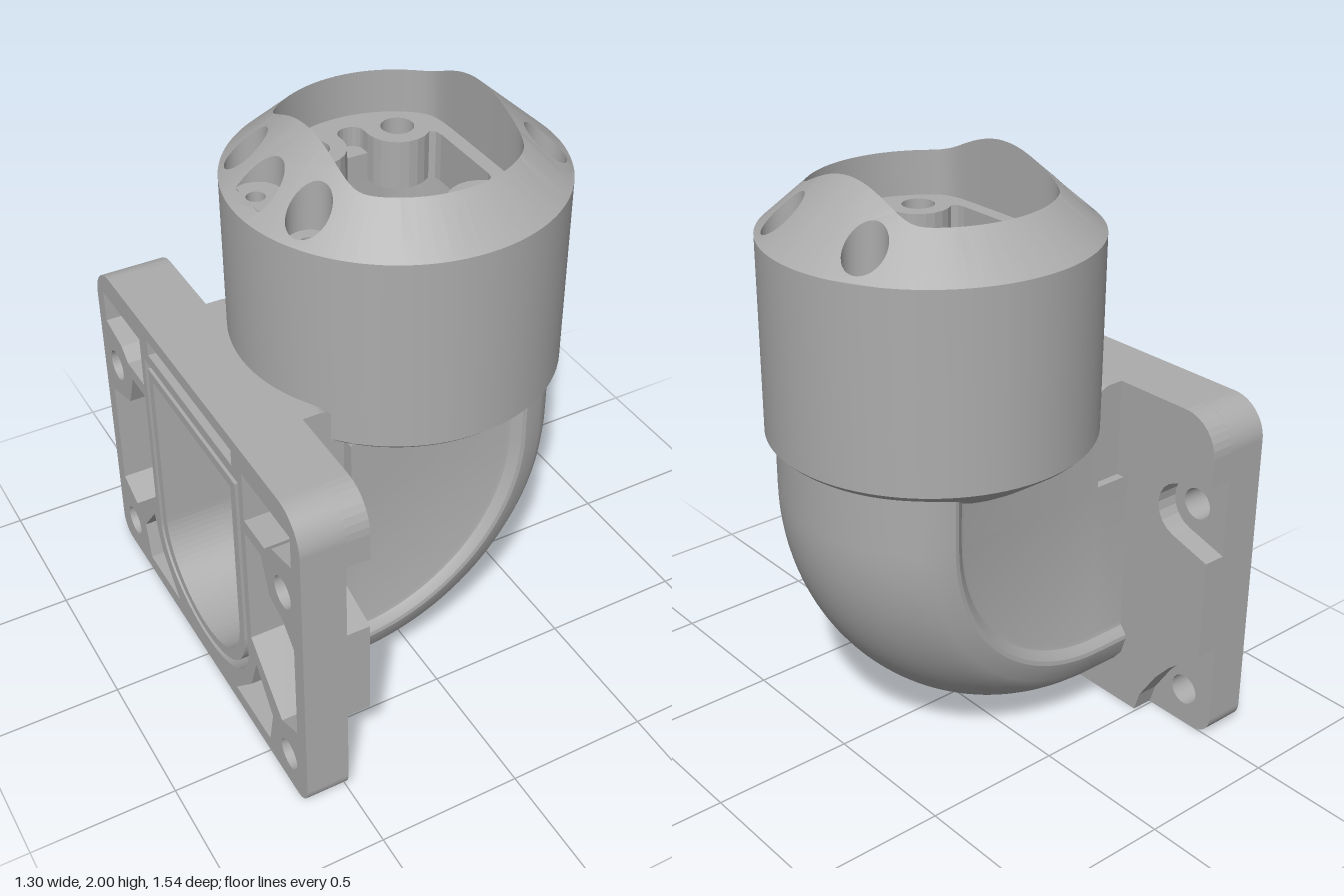
import * as THREE from 'three';
import { mergeGeometries, mergeVertices, toCreasedNormals } from 'three/addons/utils/BufferGeometryUtils.js';

const CX = 0.1; // collar axis
const grey = new THREE.MeshStandardMaterial({ color: 0xacacac, side: THREE.DoubleSide });
grey.name = 'grey metal';
const V = (x, y) => new THREE.Vector2(x, y);

function add(parent, name, geo, x = 0, y = 0, z = 0) {
  const m = new THREE.Mesh(geo, grey);
  m.name = name;
  m.position.set(x, y, z);
  parent.add(m);
}
function box(parent, name, x0, x1, y0, y1, z0, z1) {
  add(parent, name, new THREE.BoxGeometry(x1 - x0, y1 - y0, z1 - z0), (x0 + x1) / 2, (y0 + y1) / 2, (z0 + z1) / 2);
}
const circle = (x, y, r) => new THREE.Path().absarc(x, y, r, 0, Math.PI * 2, true);
const extrude = (shape, depth) => new THREE.ExtrudeGeometry(shape, { depth, bevelEnabled: false, curveSegments: 20 });
const plateX = (shape, depth) => extrude(shape, depth).rotateY(Math.PI / 2);
const plateY = (shape, depth) => extrude(shape, depth).rotateX(-Math.PI / 2);
const mirrored = pts => [...pts, ...pts.map(([x, y]) => [-x, y]).reverse()].map(p => V(...p));

// U-shaped duct outline: flat top, elliptical bottom
function duct(h, top, bottom, Type = THREE.Path) {
  const p = new Type();
  p.moveTo(h, top);
  p.lineTo(-h, top);
  p.lineTo(-h, bottom + 0.26);
  p.absellipse(0, bottom + 0.26, h, 0.26, Math.PI, Math.PI * 2, false);
  p.lineTo(h, top);
  return p;
}

// Sweeps a (radius, z) section through the quarter bend
const BX = -0.28, BY = 0.9;
function bend(section, startX, endY) {
  const stations = [[startX, BY, -Math.PI / 2]];
  for (let i = 0; i <= 40; i++) stations.push([BX, BY, -Math.PI / 2 * (1 - i / 40)]);
  stations.push([BX, endY, 0]);
  const pos = [], idx = [], n = section.length;
  stations.forEach(([x, y, a], s) => section.forEach(([r, z], k) => {
    pos.push(x + r * Math.cos(a), y + r * Math.sin(a), z);
    if (s && k) {
      const b = s * n + k, c = b - n;
      idx.push(c - 1, b - 1, b, c - 1, b, c);
    }
  }));
  const g = new THREE.BufferGeometry();
  g.setAttribute('position', new THREE.Float32BufferAttribute(pos, 3));
  g.setIndex(idx);
  return toCreasedNormals(g, 0.4);
}

// Slot mouth radius (softly cornered) and cone height in the crown
const slotR = a => Math.pow(Math.pow(0.4, -20) + Math.pow(0.3 / Math.max(0.001, Math.abs(Math.cos(a))), -20), -0.05);
const coneY = r => 1.78 + (0.55 - r) * 0.88;

function flange() {
  const g = new THREE.Group();
  g.name = 'flange';
  const bolts = [[0.645, 0.865], [-0.645, 0.865], [0.645, 0.13], [-0.645, 0.13]];
  const outline = () => {
    const s = new THREE.Shape();
    s.absarc(0.70, 0.07, 0.07, -Math.PI / 2, 0, false);
    s.absarc(0.64, 1.10, 0.13, 0, Math.PI / 2, false);
    s.absarc(-0.64, 1.10, 0.13, Math.PI / 2, Math.PI, false);
    s.absarc(-0.70, 0.07, 0.07, Math.PI, Math.PI * 1.5, false);
    s.holes.push(...bolts.map(([x, y]) => circle(x, y, 0.055)));
    return s;
  };
  // Back layer with lightening pockets between the ribs
  const back = outline();
  back.holes.push(duct(0.36, 1.08, 0.09));
  const pockets = [
    [[0.39, 0.95], [0.53, 0.95], [0.58, 0.99], [0.71, 1.02], [0.71, 1.14], [0.39, 1.14]],
    [[0.39, 0.90], [0.50, 0.90], [0.55, 0.77], [0.71, 0.72], [0.71, 0.30], [0.60, 0.25], [0.39, 0.44]],
    [[0.24, 0.06], [0.50, 0.06], [0.53, 0.20], [0.42, 0.34], [0.37, 0.2]],
  ];
  for (const p of pockets) for (const m of [1, -1]) back.holes.push(new THREE.Path(p.map(([x, y]) => V(x * m, y))));
  back.holes.push(new THREE.Path([V(-0.32, 1.12), V(0.32, 1.12), V(0.32, 1.18), V(-0.32, 1.18)]));
  add(g, 'ribbedBack', plateX(back, 0.12), -0.65);

  const web = outline();
  web.holes.push(duct(0.3, 1.02, 0.15));
  add(g, 'flangeWeb', plateX(web, 0.03), -0.53);

  const lip = duct(0.335, 1.055, 0.115, THREE.Shape);
  lip.holes.push(duct(0.3, 1.02, 0.15));
  add(g, 'ductLip', plateX(lip, 0.12), -0.65);

  // Front layer, notched around the bolts
  const corner = [], notch = [];
  for (let i = 0; i <= 8; i++) {
    const a = i / 8 * Math.PI / 2, b = (255 - i * 18.75) * Math.PI / 180;
    corner.push([0.64 + 0.13 * Math.cos(a), 1.1 + 0.13 * Math.sin(a)]);
    notch.push([0.645 + 0.1 * Math.cos(b), 0.86 + 0.1 * Math.sin(b)]);
  }
  const face = new THREE.Shape(mirrored([[0.49, 0], [0.51, 0.07], [0.58, 0.18], [0.64, 0.25], [0.77, 0.36],
    [0.77, 0.72], ...notch, [0.77, 1.0], ...corner]));
  face.holes.push(duct(0.3, 1.02, 0.15));
  add(g, 'notchedFace', plateX(face, 0.08), -0.5);
  return g;
}

function elbow() {
  const g = new THREE.Group();
  g.name = 'elbow';
  // Recessed side, small step up to a narrow band, then the broad outer arc
  const half = [[0, 0.4], [0.575, 0.4], [0.59, 0.404], [0.605, 0.418], [0.62, 0.428], [0.635, 0.43], [0.7, 0.41]];
  for (let i = 1; i <= 12; i++) {
    const z = 0.41 * (1 - i / 12);
    half.push([0.34 + Math.sqrt(0.3025 - z * z), z]);
  }
  const mirror = h => [...h, ...h.slice(0, -1).reverse().map(([r, z]) => [r, -z])];
  add(g, 'outerBend', bend(mirror(half), -0.43, 1.12));

  const bore = [[0, 0.3]];
  for (let i = 0; i <= 12; i++) {
    const a = i / 12 * Math.PI / 2;
    bore.push([0.49 + 0.26 * Math.sin(a), 0.3 * Math.cos(a)]);
  }
  add(g, 'bore', bend(mirror(bore), -0.43, 1.6));
  box(g, 'boreInnerWall', -0.17, -0.15, 1.02, 1.6, -0.3, 0.3);
  box(g, 'boreCeiling', -0.28, -0.15, 1.02, 1.08, -0.3, 0.3);

  // Saddle joining flange, elbow and collar
  const s = new THREE.Shape([V(-0.43, 1.02), V(-0.26, 1.02), V(-0.26, 1.1), V(-0.31, 1.12)]);
  s.lineTo(-0.315, 1.18);
  s.quadraticCurveTo(-0.32, 1.23, -0.37, 1.23);
  s.lineTo(-0.43, 1.23);
  add(g, 'saddle', extrude(s, 0.7), 0, 0, -0.35);
  for (const m of [1, -1]) {
    const span = (a, b) => m > 0 ? [a, b] : [-b, -a];
    box(g, 'saddleCheek', -0.43, -0.26, 0.88, 1.02, ...span(0.3, 0.35));
    box(g, 'saddleLedge', -0.43, -0.26, 0.87, 0.885, ...span(0.3, 0.398));
    box(g, 'elbowEdge', -0.28, -0.26, 0.88, 1.1, ...span(0.3, 0.398));
  }
  return g;
}

function collar() {
  const g = new THREE.Group();
  g.name = 'collar';
  g.position.x = CX;
  const prof = [[0.39, 1.0], [0.43, 1.025], [0.535, 1.1], [0.55, 1.115], [0.55, 1.78]];
  add(g, 'collarBody', toCreasedNormals(new THREE.LatheGeometry(prof.map(p => V(...p)), 96), 0.4));

  // Conical crown: plan sectors lifted onto the cone, five of them drilled
  const deg = Math.PI / 180, W = 11;
  const seats = [27, 153, 180, 207, 333].map(a => a === 180
    ? { a, at: 0.475, r: 0.085, limit: 0.51, floor: 1.815, pin: 0.48, half: 12 }
    : { a, at: 0.46, r: 0.07, limit: 1, floor: 1.75, pin: 0.46, half: W });
  // Seat outline in plan, clipped where its floor runs out of the cone
  const seatPoint = (s, t) => {
    const u = Math.min(s.limit, s.at + s.r * Math.cos(t)), v = s.r * Math.sin(t);
    const c = Math.cos(s.a * deg), n = Math.sin(s.a * deg);
    return V(u * c - v * n, u * n + v * c);
  };
  const seatRing = s => Array.from({ length: 32 }, (_, i) => seatPoint(s, -i * Math.PI / 16));

  const ranges = seats.map(s => [s.a - s.half, s.a + s.half, s]);
  seats.forEach((s, i) => {
    const next = seats[(i + 1) % 5];
    const from = s.a + s.half, to = next.a + (i < 4 ? 0 : 360) - next.half;
    const n = Math.ceil((to - from) / 5);
    for (let k = 0; k < n; k++) ranges.push([from + (to - from) * k / n, from + (to - from) * (k + 1) / n, null]);
  });
  const sectors = ranges.map(([a0, a1, seat]) => {
    const outer = [], inner = [], n = seat ? 10 : 3;
    for (let i = 0; i <= n; i++) {
      const a = (a0 + (a1 - a0) * i / n) * deg, r = slotR(a);
      outer.push(V(0.55 * Math.cos(a), 0.55 * Math.sin(a)));
      inner.unshift(V(r * Math.cos(a), r * Math.sin(a)));
    }
    // Extra points down the straight sides keep the facets on the cone
    const side = (deg0, radii) => radii.map(k => {
      const r = slotR(deg0 * deg) * (1 - k) + 0.55 * k;
      return V(r * Math.cos(deg0 * deg), r * Math.sin(deg0 * deg));
    });
    const s = new THREE.Shape([...outer, ...side(a1, [0.75, 0.5, 0.25]), ...inner, ...side(a0, [0.25, 0.5, 0.75])]);
    if (seat) s.holes.push(new THREE.Path(seatRing(seat)));
    const geo = new THREE.ShapeGeometry(s).rotateX(-Math.PI / 2);
    const p = geo.attributes.position;
    for (let i = 0; i < p.count; i++) p.setY(i, coneY(Math.hypot(p.getX(i), p.getZ(i))));
    geo.deleteAttribute('uv');
    geo.deleteAttribute('normal');
    return geo;
  });
  add(g, 'crown', toCreasedNormals(mergeVertices(mergeGeometries(sectors), 1e-4), 0.6));

  // Counterbored screw seats
  for (const s of seats) {
    const wall = new THREE.CylinderGeometry(1, 1, 1, 32, 1, true);
    const p = wall.attributes.position;
    for (let i = 0; i < p.count; i++) {
      const q = seatPoint(s, Math.atan2(p.getZ(i), p.getX(i)));
      p.setXYZ(i, q.x, p.getY(i) > 0 ? coneY(q.length()) : s.floor, -q.y);
    }
    add(g, 'seatWall', toCreasedNormals(wall, 0.5));
    const x = s.pin * Math.cos(s.a * deg), y = s.pin * Math.sin(s.a * deg);
    const floor = new THREE.Shape(seatRing(s).reverse());
    floor.holes.push(circle(x, y, 0.03));
    add(g, 'seatFloor', new THREE.ShapeGeometry(floor).rotateX(-Math.PI / 2), 0, s.floor);
    add(g, 'screwBore', new THREE.CylinderGeometry(0.03, 0.03, 0.08, 20, 1, true), x, s.floor - 0.04, -y);
    add(g, 'screwBoreEnd', new THREE.CircleGeometry(0.03, 20).rotateX(-Math.PI / 2), x, s.floor - 0.08, -y);
  }

  // Slot wall and lobed insert plate
  const rim = Array.from({ length: 180 }, (_, i) => V(Math.cos(i * 2 * deg), Math.sin(i * 2 * deg)).multiplyScalar(slotR(i * 2 * deg)));
  const wall = new THREE.CylinderGeometry(1, 1, 1, 180, 1, true);
  const p = wall.attributes.position;
  for (let i = 0; i < p.count; i++) {
    const a = Math.atan2(p.getZ(i), p.getX(i)), r = slotR(a);
    p.setXYZ(i, r * Math.cos(a), p.getY(i) > 0 ? coneY(r) : 1.74, r * Math.sin(a));
  }
  add(g, 'slotWall', toCreasedNormals(wall, 0.5));

  const quarter = [[0.25, 0.14], [0.245, 0.165], [0.225, 0.18]];
  for (let i = 0; i <= 8; i++) {
    const t = (-50 - i * 16.25) * deg;
    quarter.push([0.155 + 0.11 * Math.cos(t), 0.26 + 0.11 * Math.sin(t)]);
  }
  for (let i = 0; i <= 4; i++) quarter.push([0.045 * Math.cos(i * 20 * deg), 0.29 + 0.04 * Math.sin(i * 20 * deg)]);
  const insert = (reach, screws) => {
    const top = mirrored(quarter.filter(q => q[1] <= reach));
    const s = new THREE.Shape(rim);
    s.holes.push(new THREE.Path([...top, ...top.map(q => V(q.x, -q.y)).reverse()]));
    if (screws) for (const x of [0.155, -0.155]) for (const y of [0.26, -0.26]) s.holes.push(circle(x, y, 0.055));
    return s;
  };
  add(g, 'insertPlate', plateY(insert(1, true), 0.07), 0, 1.69);
  add(g, 'insertBase', plateY(insert(0.28, false), 0.1), 0, 1.59);
  return g;
}

export function createModel() {
  const model = new THREE.Group();
  model.name = 'pipeElbow';
  model.add(flange(), elbow(), collar());
  return model;
}
